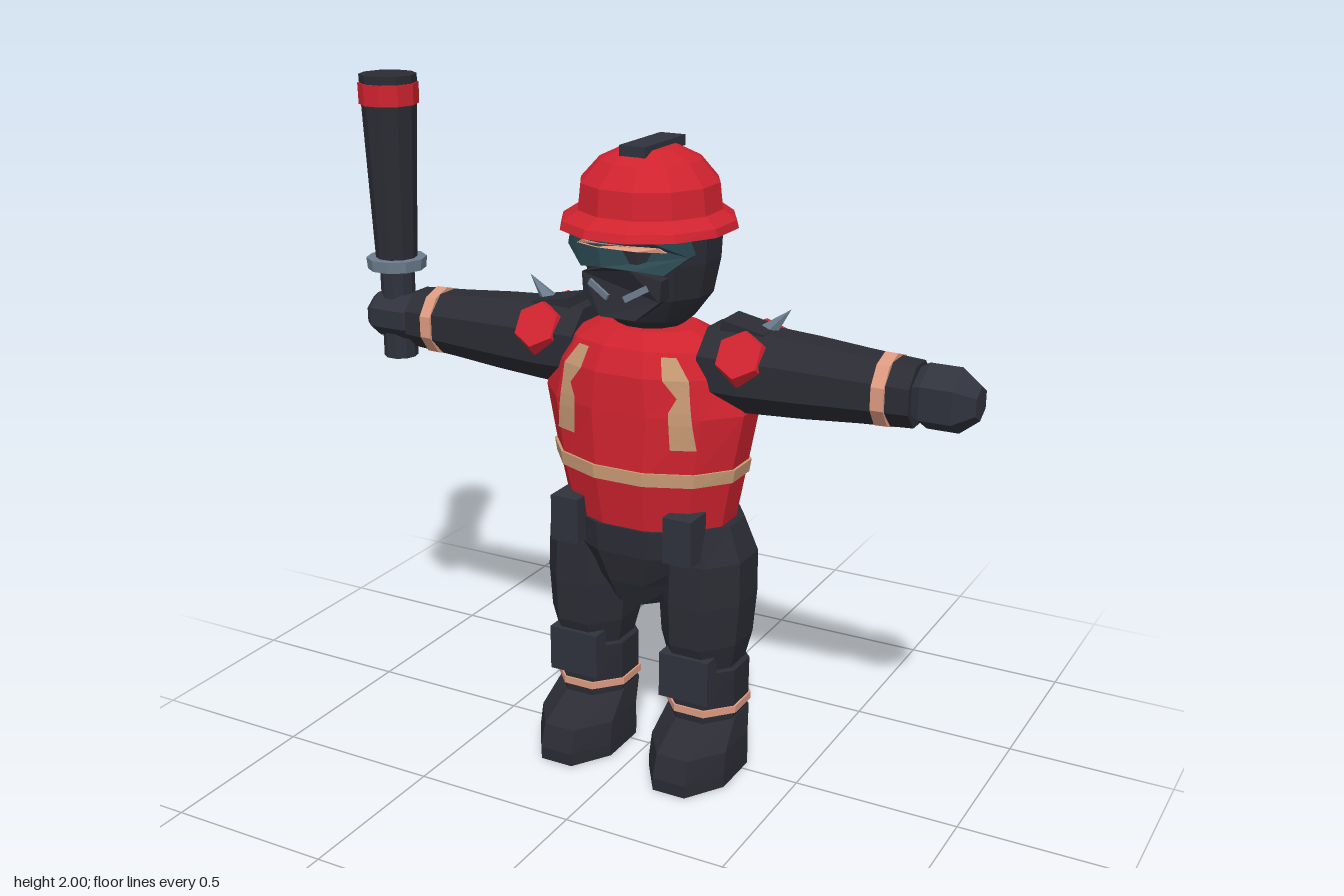
import * as THREE from 'three';

const mat = (name, color) => new THREE.MeshStandardMaterial({ name, color, flatShading: true });

export function createModel() {
  const M = {
    red: mat('red', 0xd0232f), dark: mat('charcoal', 0x2b2c34), gear: mat('gearGrey', 0x30323d),
    tan: mat('strapTan', 0xc89a74), copper: mat('bandCopper', 0xdc9a80),
    teal: mat('visorTeal', 0x2a474f), steel: mat('steel', 0x6c7d8e),
  };
  M.tan.side = THREE.DoubleSide;
  const root = new THREE.Group();

  const add = (name, geo, m, x = 0, y = 0, z = 0, parent = root) => {
    const o = new THREE.Mesh(geo, m);
    o.name = name;
    o.position.set(x, y, z);
    parent.add(o);
    return o;
  };
  const box = (w, h, d) => new THREE.BoxGeometry(w, h, d);

  // Stack of n-sided elliptical rings [y, half width, half depth, centre z, centre x], capped.
  function loft(rings, n = 12) {
    const pos = [], idx = [], k = 1 / Math.cos(Math.PI / n);
    for (const [y, rx, rz, cz = 0, cx = 0] of rings)
      for (let i = 0; i < n; i++) {
        const a = (i + 0.5) / n * Math.PI * 2;
        pos.push(cx + Math.sin(a) * rx * k, y, cz + Math.cos(a) * rz * k);
      }
    for (let r = 0; r < rings.length - 1; r++)
      for (let i = 0; i < n; i++) {
        const a = r * n + i, b = r * n + (i + 1) % n;
        idx.push(a, b, b + n, a, b + n, a + n);
      }
    const top = (rings.length - 1) * n;
    for (let i = 1; i < n - 1; i++) idx.push(0, i + 1, i, top, top + i, top + i + 1);
    const g = new THREE.BufferGeometry();
    g.setAttribute('position', new THREE.Float32BufferAttribute(pos, 3));
    g.setIndex(idx);
    g.computeVertexNormals();
    return g;
  }

  // Flat outline extruded forward and wrapped back towards its sides.
  function wrapped(points, depth, bend) {
    const g = new THREE.ExtrudeGeometry(
      new THREE.Shape(points.map(p => new THREE.Vector2(...p))), { depth, bevelEnabled: false });
    const p = g.attributes.position;
    for (let i = 0; i < p.count; i++) p.setZ(i, p.getZ(i) - bend * p.getX(i) ** 2);
    g.computeVertexNormals();
    return g;
  }

  // Vest
  const vest = add('vest', loft([
    [0.77, 0.25, 0.175, -0.02], [0.95, 0.285, 0.2, -0.015], [1.14, 0.322, 0.2, -0.015],
    [1.25, 0.285, 0.195, -0.015], [1.32, 0.24, 0.165, -0.012], [1.365, 0.15, 0.115, 0],
  ]), M.red);
  add('waistStripe', loft([[0.935, 0.291, 0.206, -0.015], [0.975, 0.298, 0.207, -0.015]]), M.tan);

  // Torn strap patches laid on the vest: rows of [y, inner x, outer x]
  const strapRows = [[1.31, 0.115, 0.155], [1.25, 0.13, 0.2], [1.2, 0.17, 0.205],
    [1.16, 0.15, 0.21], [1.05, 0.155, 0.225]];
  const ray = new THREE.Raycaster();
  vest.updateMatrixWorld();
  function strap(s, face) {
    const pos = [], idx = [], steps = 3, cols = 4;
    for (let r = 0; r <= (strapRows.length - 1) * steps; r++) {
      const i = Math.min(Math.floor(r / steps), strapRows.length - 2), t = r / steps - i;
      const [y, a, b] = strapRows[i].map((v, j) => THREE.MathUtils.lerp(v, strapRows[i + 1][j], t));
      for (let c = 0; c <= cols; c++) {
        const x = s * THREE.MathUtils.lerp(a, b, c / cols);
        ray.set(new THREE.Vector3(x, y, face), new THREE.Vector3(0, 0, -face));
        const hit = ray.intersectObject(vest)[0];
        pos.push(x, y, (hit ? hit.point.z : face * 0.15) + face * 0.008);
        if (r && c) {
          const q = r * (cols + 1) + c, u = q - cols - 1;
          idx.push(...(s * face > 0 ? [u - 1, q - 1, q, u - 1, q, u] : [u - 1, q, q - 1, u - 1, u, q]));
        }
      }
    }
    const g = new THREE.BufferGeometry();
    g.setAttribute('position', new THREE.Float32BufferAttribute(pos, 3));
    g.setIndex(idx);
    g.computeVertexNormals();
    add(face > 0 ? 'frontStrap' : 'backStrap', g, M.tan);
  }

  // Hips
  add('hips', loft([
    [0.53, 0.115, 0.15, -0.035], [0.6, 0.17, 0.17, -0.03],
    [0.7, 0.25, 0.185, -0.02], [0.785, 0.262, 0.185, -0.02],
  ], 10), M.dark);

  // Head and face gear
  add('head', loft([
    [1.35, 0.08, 0.075, -0.01], [1.39, 0.125, 0.12, -0.01], [1.46, 0.175, 0.16, -0.015],
    [1.56, 0.195, 0.18, -0.015], [1.66, 0.2, 0.185, -0.015],
  ]), M.dark);
  add('visor', wrapped([[-0.13, 1.545], [-0.05, 1.555], [0.05, 1.555], [0.13, 1.545], [0.19, 1.595],
    [0.175, 1.645], [0.07, 1.645], [-0.07, 1.645], [-0.175, 1.645], [-0.19, 1.595]], 0.04, 1.8),
    M.teal, 0, 0, 0.15);
  add('visorStripe', wrapped([[-0.14, 1.61], [-0.06, 1.61], [0.06, 1.61], [0.14, 1.61],
    [0.12, 1.622], [0.06, 1.622], [-0.06, 1.622], [-0.12, 1.622]], 0.006, 1.7), M.copper, 0, 0, 0.19);
  add('respirator', wrapped([[-0.055, 1.415], [0.055, 1.415], [0.12, 1.47], [0.125, 1.53],
    [0.04, 1.555], [-0.04, 1.555], [-0.125, 1.53], [-0.12, 1.47]], 0.055, 1.8), M.dark, 0, 0, 0.135);

  // Helmet
  add('helmet', loft([
    [1.645, 0.245, 0.255], [1.668, 0.24, 0.245], [1.695, 0.2, 0.203, -0.005], [1.77, 0.192, 0.195, -0.005],
    [1.83, 0.14, 0.145, -0.008], [1.862, 0.075, 0.08, -0.01],
  ]), M.red);
  add('helmetRidge', box(0.08, 0.03, 0.24), M.gear, 0, 1.862, -0.02);

  for (const s of [1, -1]) {
    strap(s, 1);
    strap(s, -1);

    const vent = add('respiratorVent', box(0.075, 0.018, 0.008), M.steel, s * 0.058, 1.492, 0.186);
    vent.rotation.set(0, s * 0.2, s * 0.5);

    // Arm, lofted along its length
    const arm = new THREE.Group();
    arm.name = s > 0 ? 'leftArm' : 'rightArm';
    arm.position.set(0, 1.265, -0.018);
    arm.rotation.z = -s * Math.PI / 2;
    root.add(arm);
    add('sleeve', loft([[0.2, 0.115, 0.115], [0.32, 0.118, 0.118], [0.5, 0.108, 0.106],
      [0.66, 0.095, 0.095], [0.81, 0.086, 0.086]], 8), M.dark, 0, 0, 0, arm);
    add('wristBand', loft([[0.708, 0.1, 0.1], [0.745, 0.099, 0.099]], 10), M.copper, 0, 0, 0, arm);
    add('hand', s > 0
      ? loft([[0.79, 0.055, 0.055], [0.835, 0.08, 0.08], [0.925, 0.08, 0.08], [0.98, 0.042, 0.042]], 6)
      : loft([[0.79, 0.05, 0.055], [0.825, 0.068, 0.08], [0.945, 0.068, 0.08], [0.97, 0.05, 0.06]], 8),
      M.gear, 0, 0, 0, arm);

    // Shoulder armour: two tilted red plates, a dark cap and a spike
    for (const f of [1, -1]) {
      const plate = add('shoulderPlate', new THREE.CylinderGeometry(0.07, 0.082, 0.04, 6),
        M.red, s * 0.325, 1.322, -0.02 + f * 0.095);
      plate.rotation.x = f * 1.0;
    }
    add('shoulderCap', box(0.13, 0.05, 0.11), M.dark, s * 0.305, 1.37, -0.02).rotation.z = -s * 0.2;
    add('shoulderSpike', new THREE.ConeGeometry(0.036, 0.13, 5), M.steel,
      s * 0.378, 1.395, -0.04).rotation.z = -s * 0.75;

    // Belt pouch
    add('beltPouch', box(0.09, 0.14, 0.095), M.gear, s * 0.185, 0.78, 0.133);

    // Leg
    const x = s * 0.19;
    add('trouserLeg', loft([
      [0.17, 0.108, 0.118, -0.022, x], [0.22, 0.112, 0.122, -0.022, x], [0.345, 0.118, 0.123, -0.012, x],
      [0.352, 0.105, 0.118, -0.01, x], [0.43, 0.122, 0.145, -0.012, x], [0.56, 0.132, 0.15, -0.015, x],
      [0.69, 0.13, 0.147, -0.02, x], [0.79, 0.085, 0.12, -0.03, x],
    ], 8), M.dark);
    add('ankleBand', loft([[0.2, 0.118, 0.13, -0.024, x], [0.222, 0.118, 0.13, -0.024, x]], 8), M.copper);
    add('kneePad', box(0.16, 0.14, 0.06), M.gear, s * 0.187, 0.33, 0.108);
    add('boot', loft([
      [0, 0.126, 0.195, 0.043, s * 0.193], [0.04, 0.126, 0.197, 0.043, s * 0.193],
      [0.11, 0.124, 0.182, 0.034, s * 0.193], [0.18, 0.112, 0.115, -0.03, x],
    ], 8), M.dark);
  }

  // Baton held upright in the right hand
  const baton = new THREE.Group();
  baton.name = 'baton';
  baton.position.set(-0.895, 0, -0.02);
  root.add(baton);
  const ringed = (name, y0, r0, y1, r1, m) => add(name, loft([[y0, r0, r0], [y1, r1, r1]], 10), m, 0, 0, 0, baton);
  ringed('batonHandle', 1.13, 0.05, 1.42, 0.05, M.gear);
  ringed('batonGuard', 1.41, 0.085, 1.445, 0.088, M.steel);
  ringed('batonShaft', 1.44, 0.06, 2, 0.082, M.dark);
  ringed('batonBand', 1.912, 0.085, 1.975, 0.086, M.red);

  return root;
}
